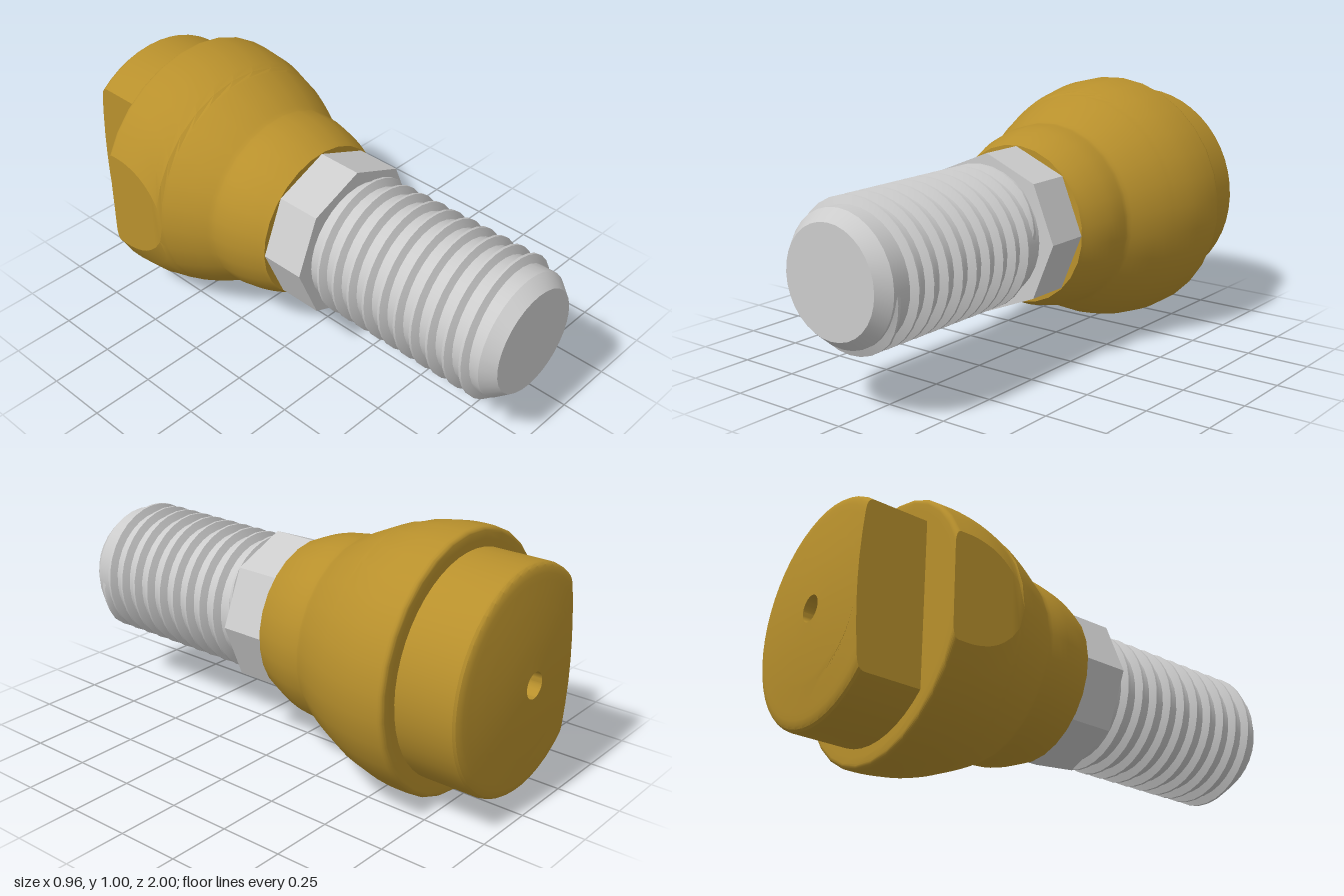
import * as THREE from 'three';
import { toCreasedNormals } from 'three/addons/utils/BufferGeometryUtils.js';

const GOLD = 0xb8902c, GREY = 0xcccccc;

// Solid from closed loops of equal point count, listed as [x, y, z]
function loft(loops, crease) {
  const n = loops[0].length, index = [];
  for (let i = 0; i < loops.length - 1; i++) {
    for (let j = 0; j < n; j++) {
      const k = (j + 1) % n;
      const a = i * n + j, b = a + n, c = i * n + k, d = c + n;
      index.push(a, b, c, c, b, d);
    }
  }
  const g = new THREE.BufferGeometry();
  g.setAttribute('position', new THREE.Float32BufferAttribute(loops.flat(2), 3));
  g.setIndex(index);
  return toCreasedNormals(g, crease);
}

// Turned part along z from [z, radius] points, with a flat cut at x = -flat
function turned(profile, flat = Infinity, segments = 27) {
  const rings = [];
  profile.forEach(([z, r], i) => {
    if (i) {
      const [z0, r0] = profile[i - 1];
      // extra ring where the flat begins or ends
      if ((r0 - flat) * (r - flat) < 0) {
        rings.push([z0 + (z - z0) * (flat - r0) / (r - r0), flat]);
      }
    }
    rings.push([z, r]);
  });
  return loft(rings.map(([z, r]) => {
    const cut = r > flat ? Math.acos(flat / r) : 0;
    const loop = [];
    for (let j = 0; j <= segments; j++) {
      const a = Math.PI + cut + (2 * Math.PI - 2 * cut) * j / segments;
      loop.push([r * Math.cos(a), r * Math.sin(a), z]);
    }
    return loop;
  }), 0.4);
}

// Smooth run of profile points
function smooth(points, count) {
  return new THREE.SplineCurve(points.map(p => new THREE.Vector2(...p)))
    .getPoints(count).map(p => [p.x, p.y]);
}

// Quarter-round rear edge, from the side wall onto the rear face
function roundEdge(z, r, radius) {
  return Array.from({ length: 7 }, (_, i) => {
    const a = i / 6 * Math.PI / 2;
    return [z + radius * (1 - Math.sin(a)), r - radius * (1 - Math.cos(a))];
  });
}

// Helical ridge with tapered ends
function threadGeometry() {
  const turns = 10, perTurn = 32, pitch = 0.0735, start = 0.195;
  const loops = [];
  for (let i = 0; i <= turns * perTurn; i++) {
    const t = i / perTurn, a = t * 2 * Math.PI, z = start + t * pitch;
    const tip = 0.243 + 0.032 * Math.min(1, t * 8, (turns - t) * 8);
    loops.push([[0.24, -0.021], [tip, -0.005], [tip, 0.005], [0.24, 0.021]]
      .map(([r, dz]) => [r * Math.cos(a), r * Math.sin(a), z + dz]));
  }
  return loft(loops, 0.4);
}

export function createModel() {
  const group = new THREE.Group();
  const add = (name, geometry, color, flatShading = false) => {
    const mesh = new THREE.Mesh(geometry,
      new THREE.MeshStandardMaterial({ color, flatShading }));
    mesh.name = name;
    group.add(mesh);
  };

  // Neck collar swelling into the round head, cut flat on one side
  add('headBody', turned([
    [-0.01, 0],
    ...smooth([[-0.01, 0.312], [-0.08, 0.341], [-0.16, 0.362], [-0.237, 0.367]], 10),
    ...smooth([[-0.24, 0.368], [-0.32, 0.413], [-0.42, 0.457], [-0.53, 0.489],
      [-0.62, 0.501], [-0.695, 0.502]], 18),
    ...roundEdge(-0.718, 0.502, 0.02),
    [-0.718, 0],
  ], 0.458), GOLD);

  // Rear cap with a deeper flat, domed face and centre hole
  add('rearCap', turned([
    [-0.70, 0.428],
    [-0.935, 0.428],
    [-0.947, 0.425],
    [-0.956, 0.418],
    [-0.962, 0.407],
    ...smooth([[-0.966, 0.39], [-0.981, 0.28], [-0.993, 0.16], [-0.999, 0.05]], 10),
    [-0.88, 0.05],
    [-0.88, 0],
  ], 0.278, 36), GOLD);

  // Eight-sided nut
  const nut = new THREE.CylinderGeometry(0.309, 0.309, 0.2, 8);
  nut.rotateX(Math.PI / 2).translate(0, 0, 0.07);
  add('octagonalNut', nut, GREY, true);

  // Shaft with chamfered tip
  add('shaft', turned([
    [1, 0], [1, 0.205], [0.95, 0.246], [0.15, 0.246],
  ], Infinity, 32), GREY);
  add('screwThread', threadGeometry(), GREY);

  group.position.set(-0.022, 0.502, 0);
  const model = new THREE.Group();
  model.name = 'threadedStud';
  model.add(group);
  group.name = 'studParts';
  return model;
}
